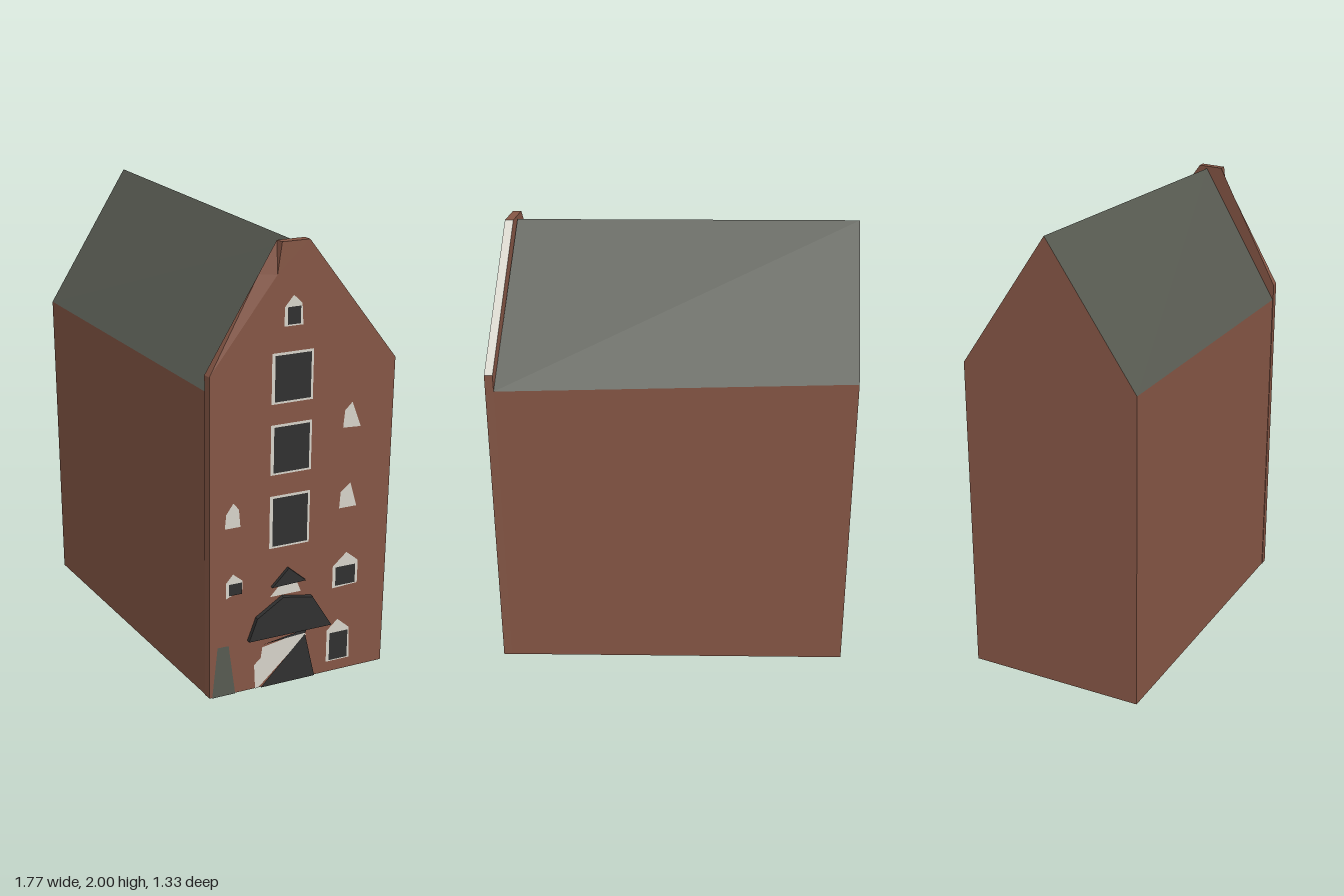
import * as THREE from 'three';

const mat = (name, color) => {
  const m = new THREE.MeshStandardMaterial({ color, side: THREE.DoubleSide });
  m.name = name;
  return m;
};

export function createModel() {
  const model = new THREE.Group();
  const brick = mat('brick', 0x855645);
  const slate = mat('slate', 0x575a51);
  const dark = mat('dark glass', 0x303030);
  const trim = mat('pale stone', 0xd6d3c9);

  // Flat polygon from corners listed counterclockwise as seen from outside
  const face = (parent, name, material, pts) => {
    const pos = [];
    for (let i = 1; i < pts.length - 1; i++) pos.push(...pts[0], ...pts[i], ...pts[i + 1]);
    const g = new THREE.BufferGeometry();
    g.setAttribute('position', new THREE.Float32BufferAttribute(pos, 3));
    g.computeVertexNormals();
    const mesh = new THREE.Mesh(g, material);
    mesh.name = name;
    parent.add(mesh);
  };

  // House body: four corners, eaves and ridge
  const house = new THREE.Group();
  house.name = 'house';
  model.add(house);
  const D = [-0.885, 0, 0.06], A = [-0.555, 0, -0.665], B = [0.85, 0, -0.043], C = [0.39, 0, 0.65];
  const at = (p, y) => [p[0], y, p[2]];
  const eD = at(D, 1.41), eA = at(A, 1.42), eB = at(B, 1.375), eC = at(C, 1.405);
  const ridgeBack = [-0.72, 2, -0.305], ridgeFront = [0.595, 1.98, 0.33];
  face(house, 'leftWall', brick, [D, C, eC, eD]);
  face(house, 'rightWall', brick, [B, A, eA, eB]);
  face(house, 'backGable', brick, [A, D, eD, ridgeBack, eA]);
  face(house, 'roofLeft', slate, [eD, eC, ridgeFront, ridgeBack]);
  face(house, 'roofRight', slate, [eB, eA, ridgeBack, ridgeFront]);

  // Facade in its own frame: x along the wall, z outwards
  const facade = new THREE.Group();
  facade.name = 'facade';
  facade.position.set(0.42, 0, 0.665);
  facade.rotation.y = Math.atan2(0.69, 0.46);
  model.add(facade);

  const shapeOf = pts => new THREE.Shape(pts.map(p => new THREE.Vector2(p[0], p[1])));
  const plate = (name, material, pts, z) => {
    const m = new THREE.Mesh(new THREE.ShapeGeometry(shapeOf(pts)), material);
    m.name = name;
    m.position.z = z;
    facade.add(m);
  };
  const slab = (name, material, pts, depth) => {
    const g = new THREE.ExtrudeGeometry(shapeOf(pts), { depth, bevelEnabled: false });
    const m = new THREE.Mesh(g, material);
    m.name = name;
    facade.add(m);
  };
  const rect = (x0, y0, x1, y1) => [[x0, y0], [x1, y0], [x1, y1], [x0, y1]];

  // Stepped gable front, straight gable back, and the rim between them
  const front = [[0, 0], [0, 1.475], [0.288, 1.86], [0.306, 1.99], [0.426, 1.99], [0.834, 1.45], [0.834, 0]];
  const back = front.map(p => [p[0] - 0.007, p[1]]);
  back[2] = [0.222, 1.86];
  plate('frontWall', brick, front, 0);
  plate('frontWallBack', brick, back, -0.035);
  for (let i = 0; i < front.length - 1; i++) {
    const f = p => [...p, 0], b = p => [...p, -0.035];
    face(facade, i === 4 ? 'gableCoping' : 'wallEdge', i === 4 ? trim : brick,
      [f(front[i]), f(front[i + 1]), b(back[i + 1]), b(back[i])]);
  }

  // Large centre windows
  for (const [y0, y1] of [[0.67, 0.912], [1.007, 1.23], [1.32, 1.538]]) {
    plate('windowFrame', trim, rect(0.27, y0, 0.455, y1), 0.003);
    plate('windowGlass', dark, rect(0.283, y0 + 0.01, 0.444, y1 - 0.01), 0.006);
  }

  // Small pointed windows: frame outline and glass rectangle
  const pointed = [
    [[[0.321, 1.645], [0.404, 1.645], [0.398, 1.735], [0.36, 1.772], [0.321, 1.725]], [0.334, 1.652, 0.391, 1.725]],
    [[[0.073, 0.472], [0.149, 0.504], [0.149, 0.546], [0.105, 0.584], [0.073, 0.546]], [0.086, 0.486, 0.145, 0.54]],
    [[[0.575, 0.419], [0.696, 0.424], [0.696, 0.535], [0.639, 0.584], [0.575, 0.525]], [0.588, 0.43, 0.683, 0.52]],
    [[[0.556, 0.053], [0.671, 0.053], [0.665, 0.207], [0.607, 0.26], [0.556, 0.212]], [0.569, 0.06, 0.658, 0.197]],
  ];
  for (const [outline, glass] of pointed) {
    plate('smallWindowFrame', trim, outline, 0.003);
    plate('smallWindowGlass', dark, rect(...glass), 0.006);
  }

  // Blind pale niches
  for (const pts of [
    [[0.6, 1.17], [0.683, 1.165], [0.64, 1.28], [0.607, 1.247]],
    [[0.595, 0.8], [0.677, 0.8], [0.645, 0.912], [0.6, 0.875]],
    [[0.067, 0.8], [0.137, 0.8], [0.13, 0.88], [0.105, 0.912], [0.073, 0.865]],
  ]) plate('niche', trim, pts, 0.003);

  // Little hood over the entrance, with the awning below it
  slab('smallHood', dark, [[0.283, 0.488], [0.442, 0.493], [0.359, 0.568]], 0.015);
  plate('hoodBase', trim, [[0.277, 0.44], [0.423, 0.44], [0.404, 0.488], [0.321, 0.488]], 0.004);
  slab('awning', dark, [[0.175, 0.249], [0.569, 0.249], [0.474, 0.408], [0.334, 0.435], [0.213, 0.355]], 0.02);

  // Entrance
  plate('doorSurround', trim,
    [[0.213, 0], [0.226, 0], [0.455, 0.217], [0.442, 0.235], [0.245, 0.2], [0.238, 0.148], [0.207, 0.12]], 0.003);
  plate('doorLeaf', dark, [[0.238, 0], [0.499, 0], [0.448, 0.223]], 0.006);
  plate('doorLintel', dark, [[0.25, 0.215], [0.45, 0.228], [0.455, 0.247]], 0.006);

  // Sloped corner panel at street level
  plate('cornerPanel', slate, [[0.01, 0], [0.118, 0], [0.086, 0.244], [0.035, 0.244]], 0.004);

  return model;
}
